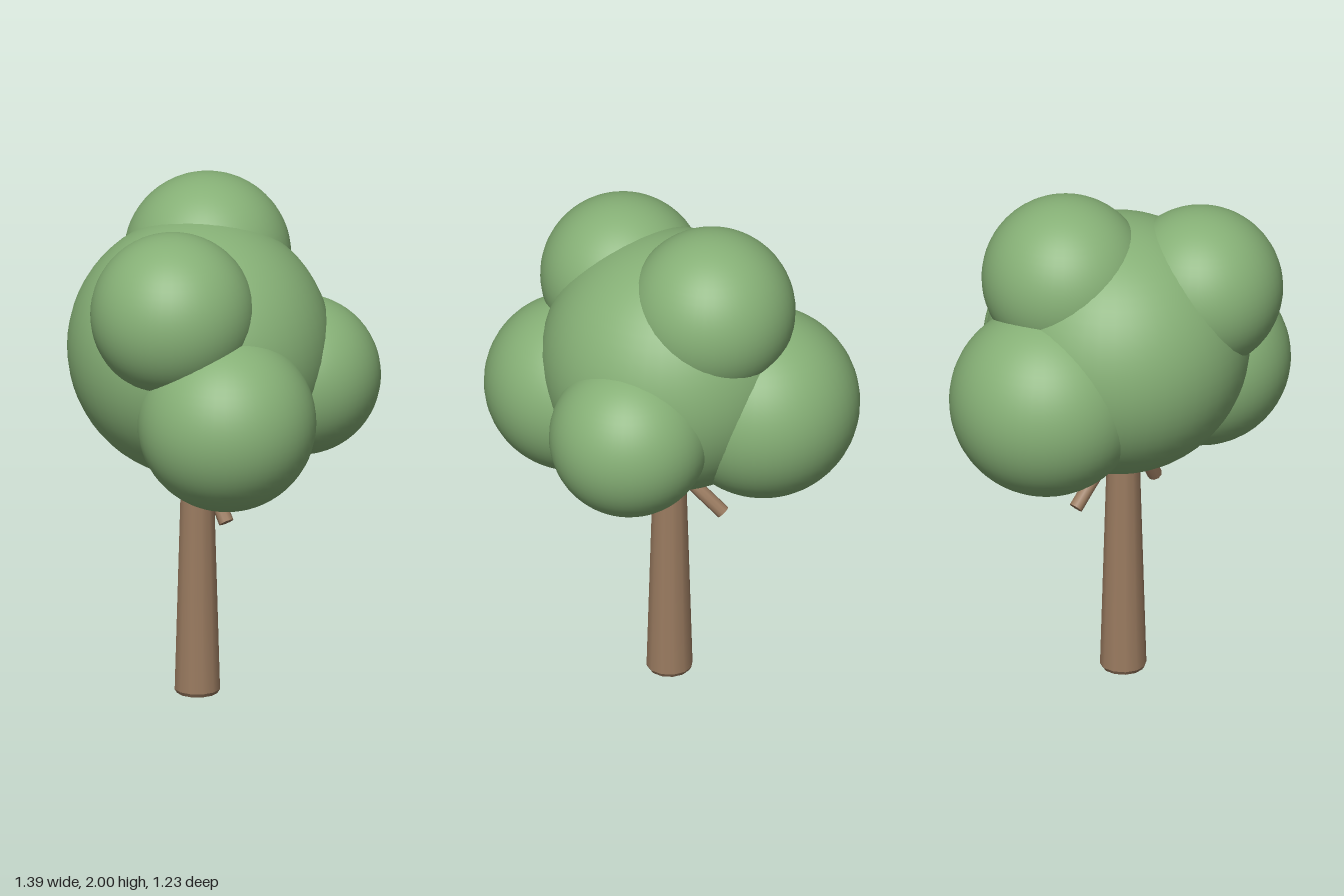
import * as THREE from 'three';

export function createModel() {
  const tree = new THREE.Group();
  tree.name = 'tree';

  const leafGreen = new THREE.MeshStandardMaterial({ color: 0x86b076 });
  leafGreen.name = 'leafGreen';
  const barkBrown = new THREE.MeshStandardMaterial({ color: 0x9a7b60 });
  barkBrown.name = 'barkBrown';

  function add(parent, name, geometry, material) {
    const mesh = new THREE.Mesh(geometry, material);
    mesh.name = name;
    parent.add(mesh);
    return mesh;
  }

  // Crown: one large ball with five smaller ones growing out of it
  const crown = new THREE.Group();
  crown.name = 'crown';
  tree.add(crown);
  const puffs = [
    ['mainFoliage', 0, 1.38, 0.015, 0.505],
    ['topFoliage', -0.125, 1.68, -0.148, 0.32],
    ['frontFoliage', 0.145, 1.605, 0.296, 0.315],
    ['leftFoliage', 0.35, 1.2, 0.208, 0.342],
    ['rightFoliage', -0.325, 1.25, -0.14, 0.37],
    ['backFoliage', 0.22, 1.245, -0.308, 0.307],
  ];
  for (const [name, x, y, z, r] of puffs) {
    add(crown, name, new THREE.SphereGeometry(r, 48, 32), leafGreen).position.set(x, y, z);
  }

  // Trunk: tapered, with a small worn edge at the foot
  const trunk = add(tree, 'trunk', new THREE.CylinderGeometry(0.06, 0.089, 0.985, 12), barkBrown);
  trunk.position.set(0.008, 0.5075, 0.034);
  const foot = add(tree, 'trunkFoot', new THREE.CylinderGeometry(0.089, 0.08, 0.015, 12), barkBrown);
  foot.position.set(0.008, 0.0075, 0.034);

  // Drooping branches: round tubes with a disc closing the outer end
  function addBranch(name, points, radius) {
    const group = new THREE.Group();
    group.name = name;
    tree.add(group);
    const curve = new THREE.CatmullRomCurve3(points.map((p) => new THREE.Vector3(...p)));
    add(group, name + 'Limb', new THREE.TubeGeometry(curve, 10, radius, 10), barkBrown);
    const end = add(group, name + 'End', new THREE.CircleGeometry(radius, 10), barkBrown);
    end.position.copy(curve.getPoint(1));
    end.quaternion.setFromUnitVectors(new THREE.Vector3(0, 0, 1), curve.getTangent(1));
  }
  addBranch('leftBranch', [[0.03, 0.94, 0.06], [0.11, 0.88, 0.07], [0.21, 0.735, 0.075]], 0.029);
  addBranch('rightBranch', [[0.0, 0.93, 0.02], [-0.07, 0.85, -0.035], [-0.18, 0.735, -0.08]], 0.027);

  return tree;
}
